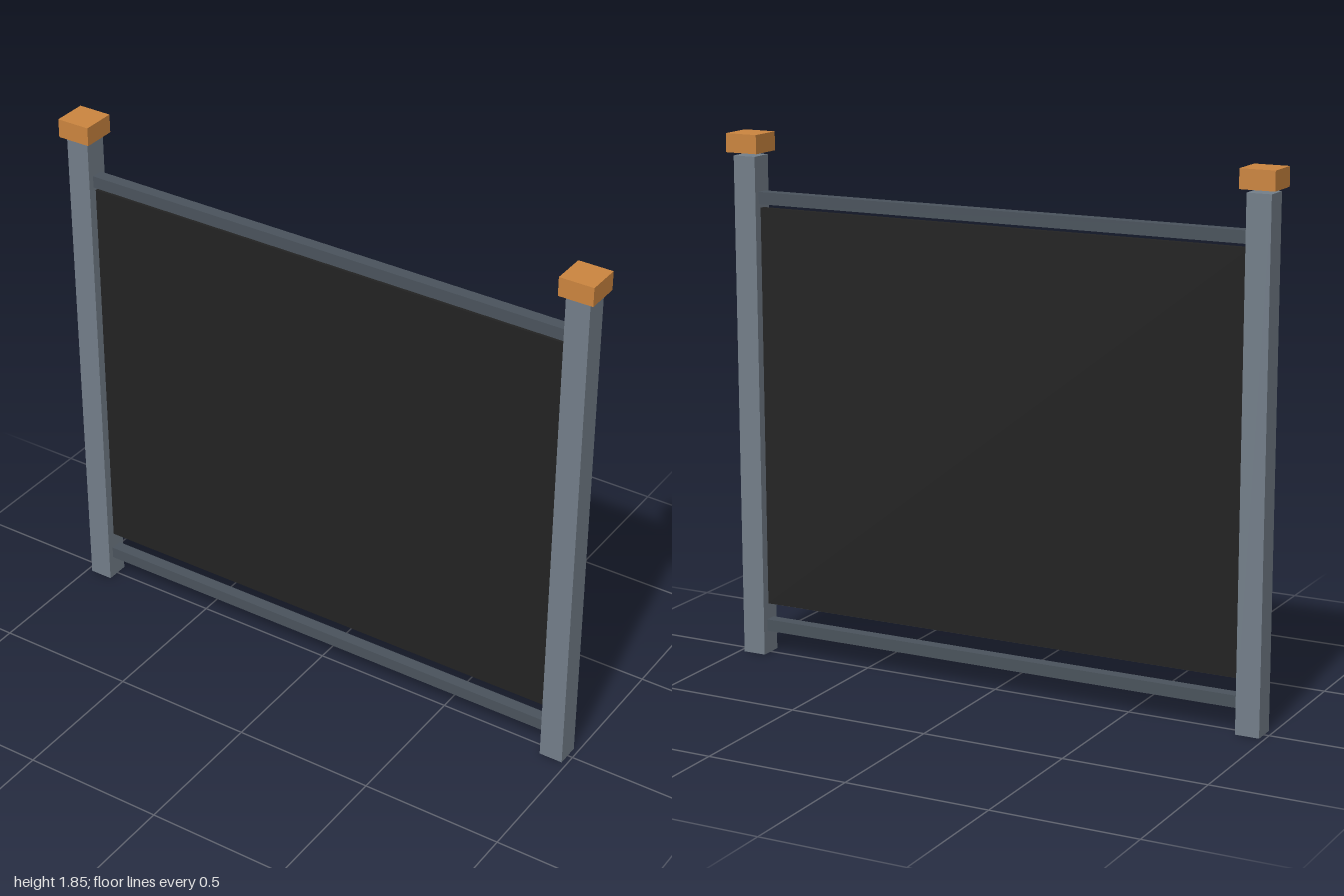
import * as THREE from 'three';

const paint = (name, color) => {
  const m = new THREE.MeshStandardMaterial({ color });
  m.name = name;
  return m;
};

export function createModel() {
  const model = new THREE.Group();
  model.name = 'fencePanel';

  const postGrey = paint('postGrey', 0x737e89);
  const railGrey = paint('railGrey', 0x4a535c);
  const panelBlack = paint('panelBlack', 0x222222);
  const capWood = paint('capWood', 0xcb853f);

  // Box centred on x and z, spanning y0 to y1
  const box = (name, material, width, y0, y1, depth, x = 0) => {
    const mesh = new THREE.Mesh(new THREE.BoxGeometry(width, y1 - y0, depth), material);
    mesh.name = name;
    mesh.position.set(x, (y0 + y1) / 2, 0);
    model.add(mesh);
  };

  // Posts with caps floating just above them
  for (const [side, s] of [['left', 1], ['right', -1]]) {
    box(side + 'Post', postGrey, 0.084, 0, 1.768, 0.084, s * 0.94);
    box(side + 'Cap', capWood, 0.12, 1.78, 1.845, 0.12, s * 0.94);
  }

  // Rails and infill panel between the posts
  box('topRail', railGrey, 1.8, 1.604, 1.646, 0.042);
  box('bottomRail', railGrey, 1.8, 0.083, 0.125, 0.042);
  box('infillPanel', panelBlack, 1.8, 0.181, 1.59, 0.021);

  return model;
}
